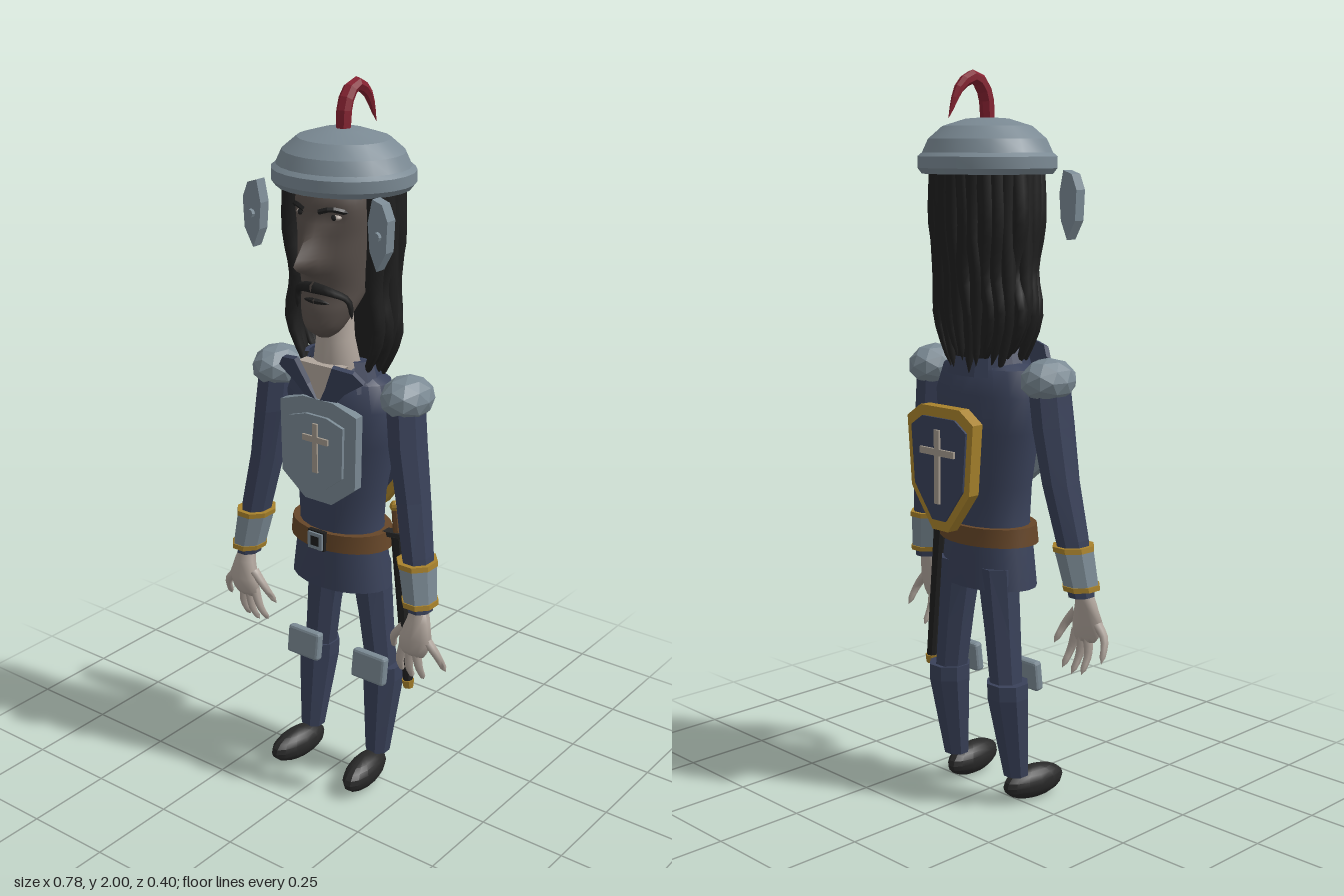
import * as THREE from 'three';
import { toCreasedNormals } from 'three/addons/utils/BufferGeometryUtils.js';
import { RoundedBoxGeometry } from 'three/addons/geometries/RoundedBoxGeometry.js';

const V = (a) => new THREE.Vector3(...a);
const colours = {
  steel: 0x7b8a94, navy: 0x394159, hairBlack: 0x1f1f1f, shoeBlack: 0x282828, gold: 0xa8822c,
  brown: 0x664628, skin: 0xb0a59c, faceBrown: 0x5a514c, plumeRed: 0x862231, crossStone: 0xa39a8e,
};

// Rings [y, cx, cz, rx, rz] from top to bottom, closed at both ends
function loft(rings, sides, turn = 0) {
  const pos = [], idx = [];
  for (const [y, cx, cz, rx, rz] of rings)
    for (let i = 0; i < sides; i++) {
      const a = (i / sides) * Math.PI * 2 + turn;
      pos.push(cx + rx * Math.sin(a), y, cz + rz * Math.cos(a));
    }
  const n = rings.length, top = n * sides, first = rings[0], last = rings[n - 1];
  pos.push(first[1], first[0], first[2], last[1], last[0], last[2]);
  for (let i = 0; i < sides; i++) {
    const j = (i + 1) % sides;
    for (let r = 0; r < n - 1; r++) {
      const a = r * sides + i, d = r * sides + j, b = a + sides, c = d + sides;
      idx.push(a, b, d, b, c, d);
    }
    idx.push(top, i, j, top + 1, (n - 1) * sides + j, (n - 1) * sides + i);
  }
  const g = new THREE.BufferGeometry();
  g.setAttribute('position', new THREE.Float32BufferAttribute(pos, 3));
  g.setIndex(idx);
  return g;
}

// Tube through points whose radius follows taper(t); the far end is closed
function taperTube(points, radius, taper, sides = 6, seg = 10) {
  const curve = new THREE.CatmullRomCurve3(points.map(V));
  const g = new THREE.TubeGeometry(curve, seg, radius, sides);
  const p = g.attributes.position, v = new THREE.Vector3();
  for (let i = 0; i < p.count; i++) {
    const row = Math.floor(i / (sides + 1)), t = row / seg, c = curve.getPointAt(t);
    v.fromBufferAttribute(p, i).sub(c).multiplyScalar(row === seg ? 0 : taper(t)).add(c);
    p.setXYZ(i, v.x, v.y, v.z);
  }
  return g;
}

// Flat outline extruded from z0 to z1
function plate(points, z0, z1, hole) {
  const s = new THREE.Shape(points.map(([x, y]) => new THREE.Vector2(x, y)));
  if (hole) s.holes.push(new THREE.Path(hole.map(([x, y]) => new THREE.Vector2(x, y))));
  return new THREE.ExtrudeGeometry(s, { depth: z1 - z0, bevelEnabled: false }).translate(0, 0, z0);
}
const mirrorOutline = (half) => [...half, ...half.map(([x, y]) => [-x, y]).reverse()];
const scaled = (pts, k, cy) => pts.map(([x, y]) => [x * k, cy + (y - cy) * k]);
const box = (w, h, d, x, y, z) => new THREE.BoxGeometry(w, h, d).translate(x, y, z);

// Mirror across x, restoring the corner order
function mirrored(geo) {
  const g = geo.clone().scale(-1, 1, 1);
  for (const at of Object.values(g.attributes)) {
    const n = at.itemSize, a = at.array;
    for (let i = 0; i < at.count; i += 3)
      for (let k = 0; k < n; k++) {
        const p = (i + 1) * n + k, q = (i + 2) * n + k;
        [a[p], a[q]] = [a[q], a[p]];
      }
  }
  return g;
}

export function createModel() {
  const root = new THREE.Group();
  root.name = 'knight';
  const mats = {};
  for (const [name, color] of Object.entries(colours)) {
    mats[name] = new THREE.MeshStandardMaterial({ color });
    mats[name].name = name;
  }
  const FLAT = 0.05, SOFT = 1.2;
  const put = (name, geo, mat) => {
    const m = new THREE.Mesh(geo, mats[mat]);
    m.name = name;
    root.add(m);
  };
  const add = (name, geo, mat, crease = FLAT) => put(name, toCreasedNormals(geo, crease), mat);
  const pair = (name, geo, mat, crease = FLAT) => {
    const g = toCreasedNormals(geo, crease);
    put(name + 'Left', g, mat);
    put(name + 'Right', mirrored(g), mat);
  };

  // Helmet and plume
  const dome = [[0.0, 1.755], [0.17, 1.75], [0.183, 1.73], [0.195, 1.745], [0.195, 1.775], [0.182, 1.785],
    [0.165, 1.82], [0.125, 1.853], [0.06, 1.872], [0, 1.876]];
  add('helmet', new THREE.LatheGeometry(dome.map(([x, y]) => new THREE.Vector2(x, y)), 24)
    .scale(1, 1, 0.9).translate(0, 0, -0.01), 'steel', 0.3);
  add('plume', taperTube([[0, 1.86, -0.008], [0, 1.94, -0.018], [0, 1.978, -0.055], [0, 1.955, -0.105],
    [0, 1.87, -0.15]], 0.025, (t) => 0.75 + 0.6 * t - 1.3 * t * t, 7, 10), 'plumeRed');

  // Hanging cheek plates with a rivet
  pair('cheekPlate', plate([[0.185, 1.74], [0.215, 1.73], [0.232, 1.69], [0.228, 1.61], [0.2, 1.56],
    [0.178, 1.61], [0.172, 1.68]], 0.085, 0.118), 'steel');
  pair('cheekRivet', new THREE.CylinderGeometry(0.012, 0.012, 0.012, 8).rotateX(Math.PI / 2)
    .translate(0.203, 1.65, 0.123), 'steel');

  // Head: smooth profile [y, half width, front z, back z] with nose and sockets pushed in by rule
  const profile = [[1.78, 0.09, 0.1, -0.1], [1.7, 0.108, 0.128, -0.1], [1.62, 0.106, 0.118, -0.09],
    [1.55, 0.1, 0.122, -0.08], [1.47, 0.09, 0.108, -0.05], [1.42, 0.076, 0.12, -0.01],
    [1.37, 0.052, 0.118, 0.03], [1.345, 0.02, 0.09, 0.05]];
  const front = new THREE.CatmullRomCurve3(profile.map(([y, w, f]) => V([w, y, f])));
  const back = new THREE.CatmullRomCurve3(profile.map(([y, w, , b]) => V([w, y, b])));
  const headRings = Array.from({ length: 37 }, (_, i) => {
    const f = front.getPoint(i / 36), b = back.getPoint(i / 36);
    return [f.y, 0, (f.z + b.z) / 2, f.x, (f.z - b.z) / 2];
  });
  const head = loft(headRings, 40), hp = head.attributes.position;
  for (let i = 0; i < hp.count; i++) {
    const x = hp.getX(i), y = hp.getY(i), z = hp.getZ(i);
    if (z < 0.04) continue;
    const rise = y > 1.55 ? Math.max(0, 1 - (y - 1.55) / 0.12) : Math.max(0, 1 - (1.55 - y) / 0.04);
    const nose = 0.08 * rise * Math.exp(-((x / 0.026) ** 2));
    const socket = 0.015 * Math.exp(-(((Math.abs(x) - 0.052) / 0.025) ** 2) - ((y - 1.672) / 0.022) ** 2);
    hp.setZ(i, z + nose - socket);
  }
  add('head', head, 'faceBrown', SOFT);
  pair('eye', new THREE.SphereGeometry(0.018, 10, 8).scale(1, 0.5, 0.8).translate(0.054, 1.672, 0.09), 'skin', SOFT);
  pair('pupil', new THREE.SphereGeometry(0.008, 8, 6).scale(1, 1, 0.5).translate(0.054, 1.672, 0.102), 'hairBlack', SOFT);
  pair('eyebrow', taperTube([[0.022, 1.686, 0.122], [0.055, 1.695, 0.113], [0.088, 1.684, 0.082]], 0.007, () => 1, 5, 6), 'hairBlack');
  pair('moustache', taperTube([[0, 1.485, 0.116], [0.045, 1.478, 0.107], [0.082, 1.455, 0.078],
    [0.09, 1.405, 0.072]], 0.016, (t) => 1 - 0.7 * t, 6, 10), 'hairBlack', SOFT);
  pair('mouth', taperTube([[0, 1.448, 0.112], [0.03, 1.446, 0.105], [0.055, 1.438, 0.088]], 0.008, (t) => 1 - 0.5 * t, 5, 6), 'hairBlack', SOFT);

  // Long hair: a backing mass and a fan of wavy locks from cheek to cheek
  add('hairMass', loft([[1.77, 0, -0.05, 0.14, 0.08], [1.6, 0, -0.06, 0.14, 0.07], [1.45, 0, -0.07, 0.12, 0.05],
    [1.33, 0, -0.075, 0.11, 0.035], [1.25, 0, -0.075, 0.07, 0.02]], 16), 'hairBlack', SOFT);
  const LOCKS = 19;
  for (let i = 0; i < LOCKS; i++) {
    const a = THREE.MathUtils.degToRad(68 + (224 * i) / (LOCKS - 1));
    const s = Math.sin(a), c = Math.cos(a), w = 0.007 * Math.sin(i * 2.4), drop = 0.025 * Math.sin(i * 1.7);
    const at = (rx, y, rz, k) => [rx * s + w * k, y, -0.012 + rz * c];
    add('hairLock' + (i + 1), taperTube([at(0.146, 1.76, 0.115, 0), at(0.148, 1.6, 0.113, 1), at(0.138, 1.48, 0.106, -1),
      at(0.153, 1.36, 0.102, 1), at(0.1, 1.23 + drop, 0.09, 0)], 0.026, (t) => 1 - 0.75 * t ** 3, 7, 14), 'hairBlack', SOFT);
  }

  // Neck and open shirt front
  add('neck', loft([[1.42, 0, 0.03, 0.05, 0.05], [1.33, 0, 0.025, 0.052, 0.052], [1.26, 0, 0.02, 0.066, 0.06],
    [1.2, 0, 0.02, 0.06, 0.05]], 16), 'skin', SOFT);
  add('bareChest', plate([[-0.07, 1.27], [0, 1.15], [0.07, 1.27]], 0.06, 0.098), 'skin');

  // Tunic, collar, belt
  add('tunic', loft([[1.255, 0, -0.005, 0.08, 0.06], [1.22, 0, -0.008, 0.15, 0.085], [1.15, 0, -0.006, 0.175, 0.104],
    [1.05, 0, -0.006, 0.166, 0.104], [0.9, 0, -0.005, 0.135, 0.098], [0.8, 0, -0.005, 0.128, 0.096],
    [0.74, 0, -0.005, 0.14, 0.1], [0.62, 0, -0.005, 0.157, 0.104]], 20), 'navy', 0.7);
  pair('collarFlap', plate([[0.058, 1.285], [0.115, 1.275], [0.142, 1.245], [0.085, 1.205], [0.05, 1.165],
    [0, 1.155], [0.03, 1.215]], 0.09, 0.105).translate(0, -1.22, -0.098).rotateX(0.3).rotateY(0.25)
    .translate(0, 1.22, 0.112), 'navy');
  add('collarBand', new THREE.LatheGeometry([[0.115, 1.2], [0.125, 1.2], [0.1, 1.28], [0.088, 1.28], [0.115, 1.2]]
    .map(([x, y]) => new THREE.Vector2(x, y)), 14, 0.9, Math.PI * 2 - 1.8).scale(1.05, 1, 0.85), 'navy');
  add('belt', loft([[0.792, 0, -0.005, 0.152, 0.11], [0.742, 0, -0.005, 0.158, 0.113]], 24), 'brown', 0.5);
  const square = (h) => mirrorOutline([[h, 0.768 + h], [h, 0.768 - h]]);
  add('buckleBacking', plate(square(0.028), 0.1, 0.114), 'hairBlack');
  add('buckle', plate(square(0.024), 0.114, 0.12, square(0.014)), 'steel');

  // Breastplate with raised panel and cross
  const breast = mirrorOutline([[0.05, 1.175], [0.128, 1.15], [0.124, 0.945], [0.045, 0.882]]);
  add('breastplate', plate(breast, 0.075, 0.103), 'steel');
  add('breastPanel', plate(scaled(breast, 0.7, 1.03), 0.103, 0.112), 'steel');
  add('breastCrossPost', box(0.016, 0.14, 0.008, 0, 1.04, 0.114), 'crossStone');
  add('breastCrossBar', box(0.085, 0.017, 0.0085, 0, 1.065, 0.114), 'crossStone');

  // Shield carried on the back
  const shield = mirrorOutline([[0.075, 1.125], [0.127, 1.09], [0.112, 0.9], [0.03, 0.79]]);
  add('shieldRim', plate(shield, -0.187, -0.152, scaled(shield, 0.82, 0.96)), 'gold');
  add('shieldPanel', plate(scaled(shield, 0.83, 0.96), -0.193, -0.158), 'navy');
  add('shieldCrossPost', box(0.018, 0.2, 0.008, 0, 0.965, -0.196), 'crossStone');
  add('shieldCrossBar', box(0.13, 0.018, 0.0085, 0, 1.005, -0.196), 'crossStone');

  // Arms, shoulder caps, bracers
  pair('shoulderCap', new THREE.IcosahedronGeometry(1, 1).scale(0.068, 0.06, 0.083).translate(0.218, 1.2, 0), 'steel');
  pair('sleeve', loft([[1.2, 0.215, 0.005, 0.05, 0.065], [1.08, 0.228, 0.01, 0.05, 0.066], [0.93, 0.252, 0.015, 0.046, 0.058],
    [0.78, 0.28, 0.03, 0.043, 0.05], [0.625, 0.303, 0.045, 0.034, 0.04]], 8, Math.PI / 8), 'navy');
  pair('bracer', loft([[0.757, 0.282, 0.034, 0.052, 0.059], [0.65, 0.301, 0.045, 0.046, 0.052]], 8, Math.PI / 8), 'steel');
  pair('bracerTopTrim', loft([[0.764, 0.281, 0.033, 0.055, 0.062], [0.75, 0.283, 0.034, 0.055, 0.062]], 8, Math.PI / 8), 'gold');
  pair('bracerBottomTrim', loft([[0.658, 0.3, 0.044, 0.05, 0.056], [0.644, 0.302, 0.046, 0.049, 0.055]], 8, Math.PI / 8), 'gold');

  // Hands with spread fingers
  pair('palm', loft([[0.64, 0.304, 0.048, 0.024, 0.024], [0.6, 0.307, 0.058, 0.034, 0.026], [0.55, 0.305, 0.068, 0.05, 0.026],
    [0.51, 0.297, 0.068, 0.045, 0.02], [0.495, 0.296, 0.066, 0.036, 0.012]], 10), 'skin', SOFT);
  const fingers = [[0.268, 0.575, 0.23, 0.53, 0.212, 0.475], [0.268, 0.52, 0.25, 0.46, 0.243, 0.412],
    [0.288, 0.515, 0.281, 0.45, 0.277, 0.402], [0.306, 0.515, 0.313, 0.46, 0.313, 0.408],
    [0.33, 0.56, 0.37, 0.515, 0.384, 0.455]];
  fingers.forEach(([x0, y0, x1, y1, x2, y2], i) => pair('finger' + (i + 1),
    taperTube([[x0, y0, 0.066], [x1, y1, 0.062], [x2, y2, 0.035]], 0.015, (t) => 1 - 0.5 * t, 6, 7), 'skin', SOFT));

  // Legs, greaves, knee plates, shoes
  pair('thigh', loft([[0.68, 0.07, -0.04, 0.062, 0.06], [0.5, 0.093, -0.042, 0.05, 0.054], [0.33, 0.112, -0.045, 0.045, 0.048]],
    8, Math.PI / 8), 'navy');
  pair('greave', loft([[0.362, 0.116, -0.047, 0.06, 0.06], [0.32, 0.117, -0.046, 0.06, 0.06], [0.085, 0.12, -0.017, 0.036, 0.036]],
    8, Math.PI / 8), 'navy');
  pair('kneePlate', new RoundedBoxGeometry(0.112, 0.085, 0.028, 1, 0.008).rotateX(-0.12).translate(0.117, 0.372, 0.02), 'steel');
  pair('shoe', new THREE.SphereGeometry(1, 14, 10).scale(0.043, 0.047, 0.102).rotateY(0.12).translate(0.123, 0.047, 0.05),
    'shoeBlack', 0.4);

  // Sword in its scabbard, hanging from the left hip
  const hang = (geo) => geo.rotateZ(0.1).translate(0.198, 0.6, -0.018);
  const rod = (r0, r1, h, y) => hang(new THREE.CylinderGeometry(r0, r1, h, 8).translate(0, y, 0));
  add('scabbard', rod(0.018, 0.014, 0.45, -0.04), 'hairBlack');
  add('scabbardTip', rod(0.018, 0.014, 0.024, -0.262), 'gold');
  add('crossguard', hang(new THREE.BoxGeometry(0.082, 0.014, 0.03).translate(0, 0.19, 0)), 'shoeBlack');
  add('grip', rod(0.011, 0.012, 0.075, 0.232), 'brown');
  add('pommel', hang(new THREE.SphereGeometry(0.016, 8, 6).translate(0, 0.272, 0)), 'gold');

  return root;
}
